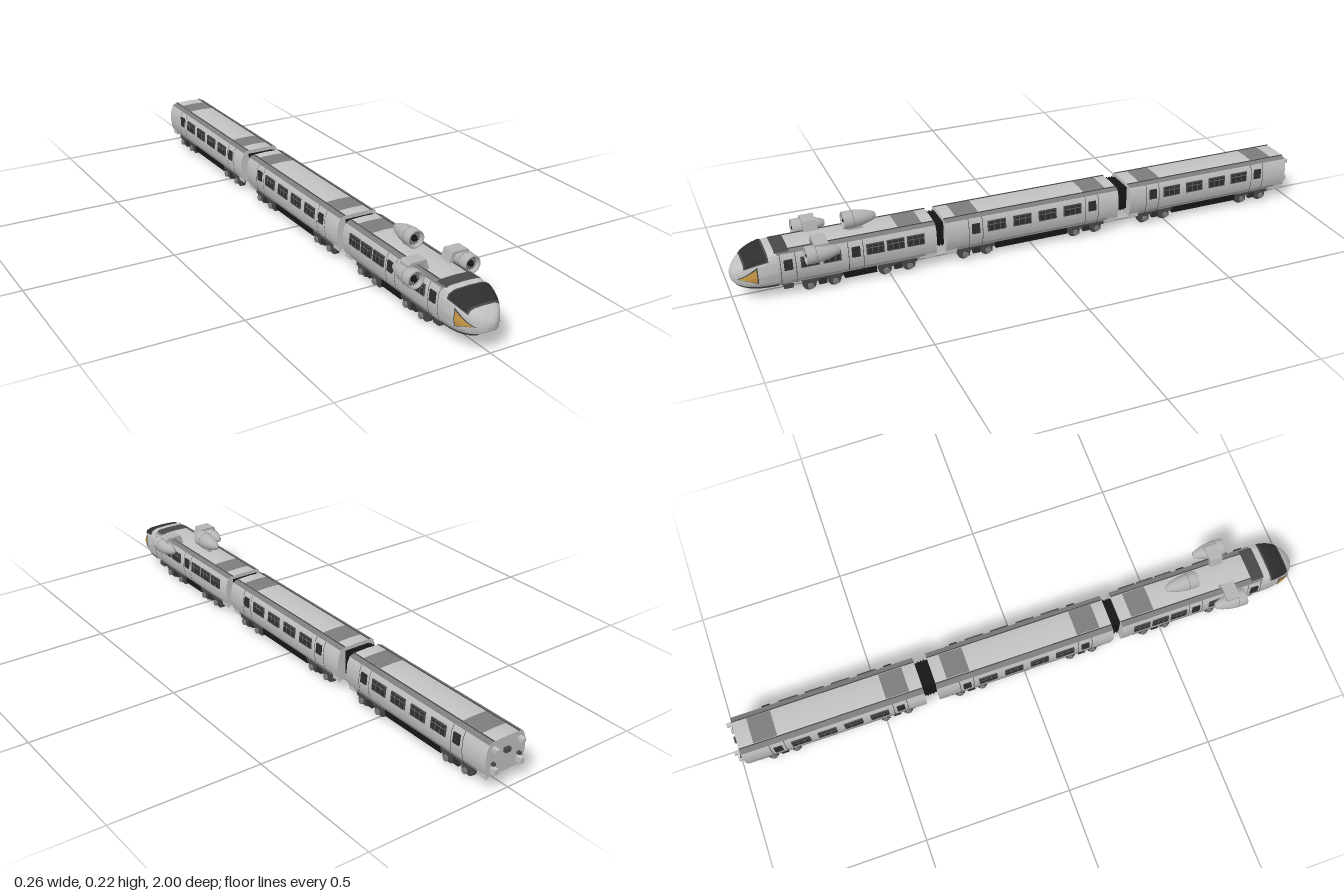
import * as THREE from 'three';
import { toCreasedNormals } from 'three/addons/utils/BufferGeometryUtils.js';

const mat = (name, color, side = THREE.FrontSide) => {
  const m = new THREE.MeshStandardMaterial({ color, side });
  m.name = name;
  return m;
};

// Half cross-section from roof centre to floor centre: [width fraction, height fraction]
const PROFILE = [[0, 1], [0.6, 0.985], [0.85, 0.92], [0.96, 0.75], [1, 0.42], [0.92, 0.12], [0.82, 0], [0, 0]];
const NOSE = 0.86;

// Body width, roof and floor at a given z; the nose closes towards z = 1
function dims(z) {
  const p = Math.min(1, Math.max(0, (z - NOSE) / (1 - NOSE)));
  return {
    w: 0.077 * Math.sqrt(1 - p ** 2.4),
    top: 0.085 + 0.075 * (1 - p * p) ** 0.7,
    bot: 0.045 + 0.03 * (1 - Math.sqrt(1 - p ** 3)),
  };
}

function skinPoint(u, z, grow) {
  const a = Math.min(Math.abs(u), 7), i = Math.min(6, Math.floor(a)), f = a - i;
  const fx = THREE.MathUtils.lerp(PROFILE[i][0], PROFILE[i + 1][0], f);
  const fy = THREE.MathUtils.lerp(PROFILE[i][1], PROFILE[i + 1][1], f);
  const { w, top, bot } = dims(z);
  return [Math.sign(u) * fx * (w + grow), bot - grow + fy * (top - bot + 2 * grow), z];
}

// Piece of the body skin between u0..u1 and z0..z1; taper pulls the z1 end to a point
function skin(u0, u1, z0, z1, { grow = 0, nu = 14, nz = 1, taper = 0, caps = false, ease = false } = {}) {
  const pos = [], idx = [], mid = (u0 + u1) / 2, row = nu + 1;
  for (let j = 0; j <= nz; j++) {
    const v = j / nz, z = z0 + (z1 - z0) * (ease ? Math.sin(v * Math.PI / 2) : v);
    for (let i = 0; i <= nu; i++) {
      const u = u0 + (u1 - u0) * i / nu;
      pos.push(...skinPoint(u + (mid - u) * taper * v, z, grow));
    }
  }
  for (let j = 0; j < nz; j++) for (let i = 0; i < nu; i++) {
    const a = j * row + i, c = a + row;
    idx.push(a, c, a + 1, a + 1, c, c + 1);
  }
  if (caps) {
    const c = pos.length / 3, end = nz * row;
    pos.push(0, 0.1, z0, 0, 0.1, z1);
    for (let i = 0; i < nu; i++) idx.push(c, i, i + 1, c + 1, end + i + 1, end + i);
  }
  const g = new THREE.BufferGeometry();
  g.setAttribute('position', new THREE.Float32BufferAttribute(pos, 3));
  g.setIndex(idx);
  return toCreasedNormals(g, 0.75);
}

export function createModel() {
  const M = {
    body: mat('light grey paint', 0xc2c2c2),
    panel: mat('mid grey panels', 0x7c7c7c),
    dark: mat('dark grey metal', 0x484848),
    glass: mat('dark glass', 0x2e2e2e),
    black: mat('black', 0x161616),
    engine: mat('engine grey', 0xb4b4b4, THREE.DoubleSide),
    lamp: mat('amber lamp', 0xc99a45),
  };
  const model = new THREE.Group();
  const add = (parent, name, geo, m, x = 0, y = 0, z = 0) => {
    const mesh = new THREE.Mesh(geo, m);
    mesh.name = name;
    mesh.position.set(x, y, z);
    parent.add(mesh);
    return mesh;
  };
  const box = (parent, name, m, w, h, d, x, y, z) => add(parent, name, new THREE.BoxGeometry(w, h, d), m, x, y, z);
  const group = (parent, name, x = 0, y = 0, z = 0) => {
    const g = new THREE.Group();
    g.name = name;
    g.position.set(x, y, z);
    parent.add(g);
    return g;
  };

  // Four-wheel bogie
  const wheelGeo = new THREE.CylinderGeometry(0.022, 0.022, 0.013, 24).rotateZ(Math.PI / 2);
  const hubGeo = new THREE.CylinderGeometry(0.01, 0.01, 0.006, 12).rotateZ(Math.PI / 2);
  const axleGeo = new THREE.CylinderGeometry(0.006, 0.006, 0.11, 10).rotateZ(Math.PI / 2);
  function bogie(parent, z) {
    const g = group(parent, 'bogie', 0, 0, z);
    box(g, 'bogieBolster', M.dark, 0.1, 0.016, 0.05, 0, 0.036, 0);
    for (const dz of [-0.04, 0.04]) {
      add(g, 'axle', axleGeo, M.dark, 0, 0.022, dz);
      for (const s of [-1, 1]) {
        add(g, 'wheel', wheelGeo, M.dark, s * 0.045, 0.022, dz);
        add(g, 'axleCap', hubGeo, M.panel, s * 0.067, 0.022, dz);
        box(g, 'axleBox', M.dark, 0.01, 0.024, 0.03, s * 0.06, 0.027, dz);
      }
    }
    for (const s of [-1, 1]) {
      box(g, 'bogieFrame', M.dark, 0.01, 0.012, 0.13, s * 0.06, 0.039, 0);
      box(g, 'bogieSpring', M.glass, 0.012, 0.02, 0.025, s * 0.06, 0.03, 0);
    }
  }

  // Carriage: skin, roof panels, doors, windows and running gear
  function carriage(name, z0, z1, o) {
    const g = group(model, name);
    add(g, 'bodyShell', skin(-7, 7, z0, z1, { caps: true }), M.body);
    for (const s of [-1, 1]) {
      add(g, 'roofEdge', skin(s > 0 ? 1 : -2, s > 0 ? 2 : -1, z0, z1, { grow: 0.001, nu: 1 }), M.panel);
      box(g, 'roofRail', M.dark, 0.003, 0.003, z1 - z0, s * 0.048, 0.159, (z0 + z1) / 2);
      box(g, 'sillStrip', M.panel, 0.003, 0.004, z1 - z0 - 0.08, s * 0.07, 0.056, (z0 + z1) / 2);
      for (const z of o.windows) {
        const win = group(g, 'window', s * 0.0762, 0.117, z);
        win.rotation.z = s * 0.08;
        box(win, 'windowFrame', M.dark, 0.005, 0.036, o.width, 0, 0, 0);
        box(win, 'windowPane', M.glass, 0.007, 0.029, o.width - 0.008, 0, 0, 0);
        box(win, 'windowTransom', M.panel, 0.008, 0.002, o.width - 0.008, 0, 0.006, 0);
        for (const dz of [-1, 1]) box(win, 'windowBar', M.panel, 0.008, 0.029, 0.0015, 0, 0, dz * o.width / 6);
      }
      for (const z of o.doors) {
        const win = box(g, 'doorWindow', M.glass, 0.006, 0.034, 0.027, s * 0.0762, 0.117, z);
        win.rotation.z = s * 0.08;
        for (const dz of [-0.024, 0.024]) {
          const [u0, u1] = s > 0 ? [2, 6] : [-6, -2];
          add(g, 'doorSeam', skin(u0, u1, z + dz - 0.001, z + dz + 0.001, { grow: 0.0008, nu: 4 }), M.dark);
        }
      }
      for (const z of o.skirts) box(g, 'endSkirt', M.body, 0.006, 0.022, 0.035, s * 0.064, 0.049, z);
    }
    for (const [a, b] of o.panels) add(g, 'roofPanel', skin(-0.95, 0.95, a, b, { grow: 0.0012, nu: 2 }), M.panel);
    const [u0, u1] = o.under;
    box(g, 'equipmentBox', M.black, 0.122, 0.032, u1 - u0, 0, 0.037, (u0 + u1) / 2);
    box(g, 'underfloor', M.black, 0.115, 0.006, z1 - z0 - 0.1, 0, 0.044, (z0 + z1) / 2);
    o.bogies.forEach(z => bogie(g, z));
    return g;
  }

  const front = carriage('frontCarriage', 0.345, NOSE, {
    windows: [0.76, 0.69, 0.55, 0.483, 0.416], width: 0.058, doors: [0.828, 0.613],
    panels: [[0.385, 0.465]], under: [0.545, 0.65], bogies: [0.7225, 0.475], skirts: [0.365],
  });
  carriage('middleCarriage', -0.31, 0.312, {
    windows: [0.137, 0.046, -0.045, -0.136], width: 0.064, doors: [0.21, -0.21],
    panels: [[0.19, 0.27], [-0.27, -0.19]], under: [-0.125, 0.135], bogies: [0.205, -0.195], skirts: [0.292, -0.29],
  });
  const rear = carriage('rearCarriage', -0.98, -0.355, {
    windows: [-0.515, -0.605, -0.695, -0.785], width: 0.064, doors: [-0.442, -0.862],
    panels: [[-0.48, -0.4], [-0.93, -0.85]], under: [-0.785, -0.53], bogies: [-0.46, -0.8525], skirts: [-0.375, -0.96],
  });

  // Gangways between carriages
  for (const z of [0.3285, -0.3325]) {
    box(model, 'gangway', M.black, 0.092, 0.08, 0.06, 0, 0.106, z);
    for (const dz of [-0.01, 0, 0.01]) box(model, 'gangwayFold', M.black, 0.098, 0.085, 0.004, 0, 0.106, z + dz);
  }

  // Rounded nose with windscreen, headlights and lower fairing
  add(front, 'nose', skin(-7, 7, NOSE, 1, { nu: 56, nz: 24, ease: true }), M.body);
  add(front, 'windscreenSurround', skin(-2.75, 2.75, 0.887, 0.962, { grow: 0.0015, nu: 44, nz: 16 }), M.dark);
  add(front, 'windscreen', skin(-2.55, 2.55, 0.893, 0.957, { grow: 0.0025, nu: 44, nz: 16 }), M.glass);
  add(front, 'cabRoofPanel', skin(-1.6, 1.6, 0.82, 0.865, { grow: 0.0015, nu: 32, nz: 2 }), M.dark);
  add(front, 'noseUnderside', skin(5.4, 7, NOSE, 0.985, { grow: 0.0012, nu: 16, nz: 16 }), M.dark);
  add(front, 'noseUnderside', skin(-7, -5.4, NOSE, 0.985, { grow: 0.0012, nu: 16, nz: 16 }), M.dark);
  for (const s of [-1, 1]) {
    const range = (a, b) => (s > 0 ? [a, b] : [-b, -a]);
    add(front, 'headlightSurround', skin(...range(3.0, 4.75), 0.922, 0.985, { grow: 0.002, nz: 14, taper: 1 }), M.dark);
    add(front, 'headlight', skin(...range(3.2, 4.6), 0.926, 0.98, { grow: 0.0032, nz: 14, taper: 1 }), M.lamp);
  }
  box(front, 'frontBeam', M.dark, 0.125, 0.016, 0.03, 0, 0.034, 0.83);

  // Rear wall fittings
  for (const s of [-1, 1]) {
    box(rear, 'tailLamp', M.body, 0.013, 0.013, 0.02, s * 0.05, 0.135, -0.99);
    box(rear, 'buffer', M.body, 0.014, 0.018, 0.02, s * 0.05, 0.068, -0.99);
    box(rear, 'bufferPad', M.dark, 0.01, 0.008, 0.012, s * 0.05, 0.088, -0.985);
  }
  box(rear, 'rearCoupler', M.dark, 0.02, 0.014, 0.012, 0, 0.118, -0.985);

  // Jet engine: blunt intake at +z, tapering to the tail
  const shell = [[0.004, -0.06], [0.011, -0.057], [0.018, -0.04], [0.025, -0.015], [0.0285, 0.015], [0.029, 0.042],
    [0.028, 0.048], [0.025, 0.05], [0.023, 0.047], [0.022, 0.03]].map(p => new THREE.Vector2(...p));
  const shellGeo = new THREE.LatheGeometry(shell, 32).rotateX(Math.PI / 2);
  function jet(x, y, z) {
    const g = group(model, 'jetEngine', x, y, z);
    add(g, 'engineShell', shellGeo, M.engine);
    add(g, 'intakeBack', new THREE.CircleGeometry(0.0225, 32), M.black, 0, 0, 0.031);
    add(g, 'intakeLip', new THREE.TorusGeometry(0.0265, 0.0022, 8, 32), M.engine, 0, 0, 0.048);
    add(g, 'fanRing', new THREE.TorusGeometry(0.016, 0.001, 6, 28), M.panel, 0, 0, 0.04);
    for (let i = 0; i < 16; i++) {
      const a = i * Math.PI / 8;
      const blade = box(g, 'fanBlade', M.panel, 0.011, 0.0022, 0.003, Math.cos(a) * 0.0165, Math.sin(a) * 0.0165, 0.037);
      blade.rotation.z = a;
    }
    add(g, 'fanHub', new THREE.SphereGeometry(0.007, 16, 10), M.black, 0, 0, 0.043);
    const band = new THREE.TorusGeometry(0.0285, 0.0008, 6, 32);
    add(g, 'engineBand', band, M.panel, 0, 0, 0.018);
  }
  jet(0, 0.195, 0.583);
  box(model, 'topPylon', M.engine, 0.014, 0.02, 0.05, 0, 0.164, 0.595);

  // Side engines on cranked pylons
  const arm = new THREE.Shape([[0.034, 0.152], [0.046, 0.191], [0.099, 0.191], [0.106, 0.184], [0.106, 0.172],
    [0.096, 0.172], [0.096, 0.183], [0.056, 0.183], [0.046, 0.152]].map(p => new THREE.Vector2(...p)));
  const armGeo = new THREE.ExtrudeGeometry(arm, { depth: 0.045, bevelEnabled: false });
  for (const s of [-1, 1]) {
    jet(s * 0.099, 0.15, 0.728);
    // the left-right mirror comes from a half turn, keeping faces outward
    const pylon = add(model, 'sidePylon', armGeo, M.engine, 0, 0, s > 0 ? 0.705 : 0.75);
    if (s < 0) pylon.rotation.y = Math.PI;
  }
  return model;
}
